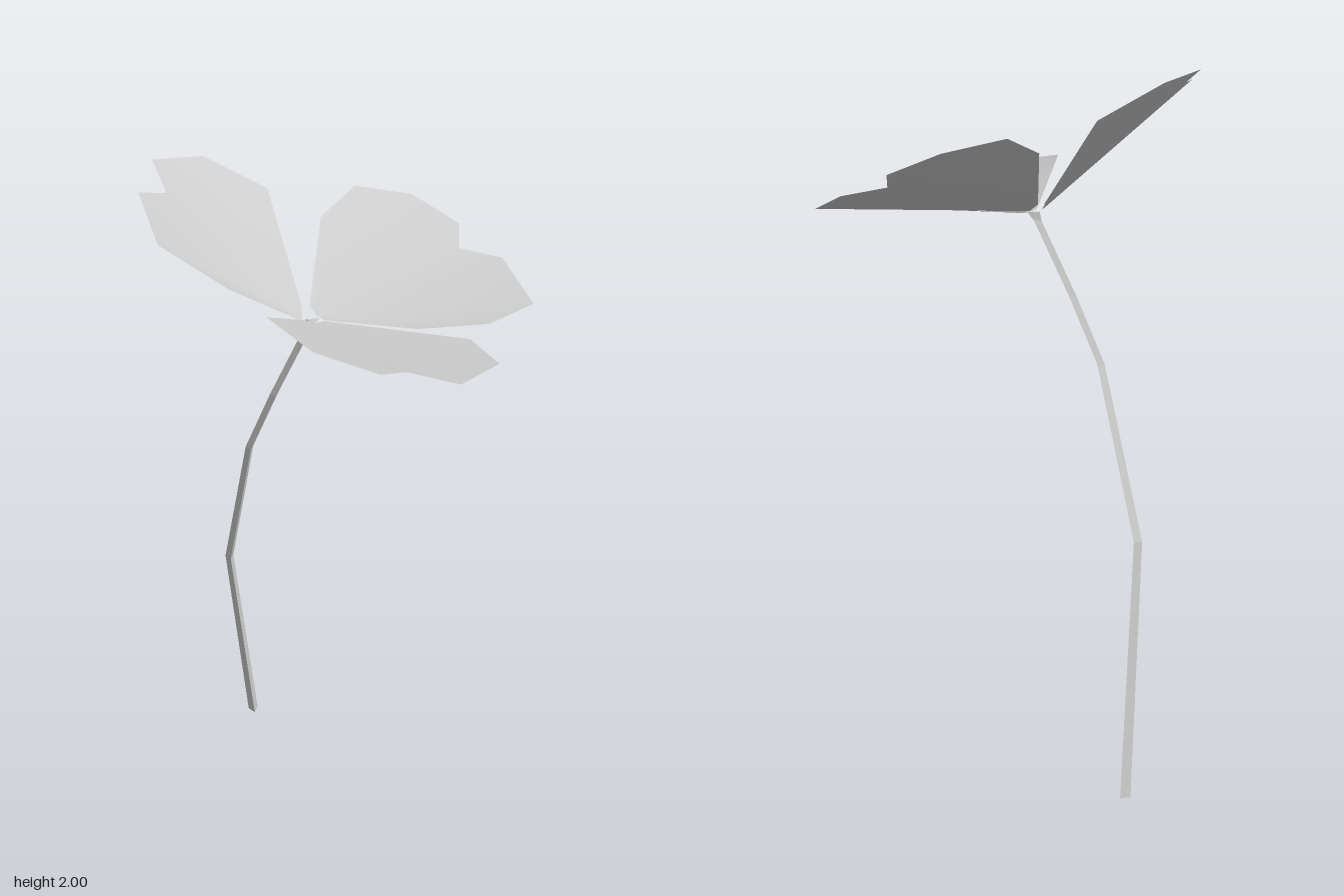
import * as THREE from 'three';

const green = new THREE.MeshStandardMaterial({ color: 0xcccccc, side: THREE.DoubleSide });
green.name = 'plain grey';

// Heart-shaped leaflet: a fan from the middle of its base edge, folded along the midrib
function leaflet(name, outline) {
  const first = outline[0], last = outline[outline.length - 1];
  const base = first.map((v, i) => (v + last[i]) / 2);
  base[1] -= 0.008;
  const index = [];
  for (let i = 1; i < outline.length; i++) index.push(0, i, i + 1);
  const geo = new THREE.BufferGeometry();
  geo.setAttribute('position', new THREE.Float32BufferAttribute([base, ...outline].flat(), 3));
  geo.setIndex(index);
  geo.computeVertexNormals();
  const mesh = new THREE.Mesh(geo, green);
  mesh.name = name;
  return mesh;
}

// Three-sided open stem, lofted through rings [x, y, z, radius]
function stem() {
  const rings = [
    [-0.217, 0, -0.463, 0.018],
    [-0.296, 0.7, -0.347, 0.0145],
    [-0.254, 1.18, -0.164, 0.013],
    [-0.188, 1.37, -0.11, 0.013],
    [-0.098, 1.585, -0.061, 0.013],
    [-0.085, 1.61, -0.057, 0.022],
  ];
  const sides = 3, pos = [], index = [];
  for (const [x, y, z, r] of rings)
    for (let k = 0; k < sides; k++) {
      const a = Math.PI / 2 + (k * 2 * Math.PI) / sides;
      pos.push(x + r * Math.cos(a), y, z + r * Math.sin(a));
    }
  for (let i = 0; i < rings.length - 1; i++)
    for (let k = 0; k < sides; k++) {
      const a = i * sides + k, b = i * sides + ((k + 1) % sides);
      index.push(a, a + sides, b, b, a + sides, b + sides);
    }
  const top = (rings.length - 1) * sides;
  index.push(top, top + 2, top + 1);
  const indexed = new THREE.BufferGeometry();
  indexed.setAttribute('position', new THREE.Float32BufferAttribute(pos, 3));
  indexed.setIndex(index);
  const geo = indexed.toNonIndexed();
  geo.computeVertexNormals();
  const mesh = new THREE.Mesh(geo, green);
  mesh.name = 'stem';
  return mesh;
}

export function createModel() {
  const group = new THREE.Group();
  group.name = 'threeLeafPlant';
  group.add(stem());

  // Outlines run counter-clockwise seen from above
  group.add(leaflet('leftLeaflet', [
    [-0.055, 1.61, -0.05], [0.176, 1.615, 0.079], [0.368, 1.62, 0.104], [0.526, 1.624, 0.014],
    [0.512, 1.667, -0.226], [0.396, 1.69, -0.27], [0.425, 1.725, -0.37], [0.317, 1.78, -0.494],
    [0.145, 1.817, -0.505], [0.015, 1.778, -0.386], [-0.085, 1.632, -0.104],
  ]));
  group.add(leaflet('frontLeaflet', [
    [-0.105, 1.618, -0.042], [-0.272, 1.765, 0.231], [-0.196, 1.747, 0.423], [-0.044, 1.703, 0.496],
    [0.038, 1.675, 0.443], [0.165, 1.65, 0.494], [0.315, 1.622, 0.35], [0.289, 1.618, 0.18],
    [-0.058, 1.608, -0.05],
  ]));
  group.add(leaflet('rightLeaflet', [
    [-0.108, 1.635, -0.097], [-0.131, 1.862, -0.426], [-0.306, 1.96, -0.46], [-0.464, 2.0, -0.347],
    [-0.447, 1.95, -0.217], [-0.529, 1.98, -0.158], [-0.518, 1.927, 0.085], [-0.348, 1.81, 0.141],
    [-0.12, 1.618, -0.042],
  ]));
  return group;
}
